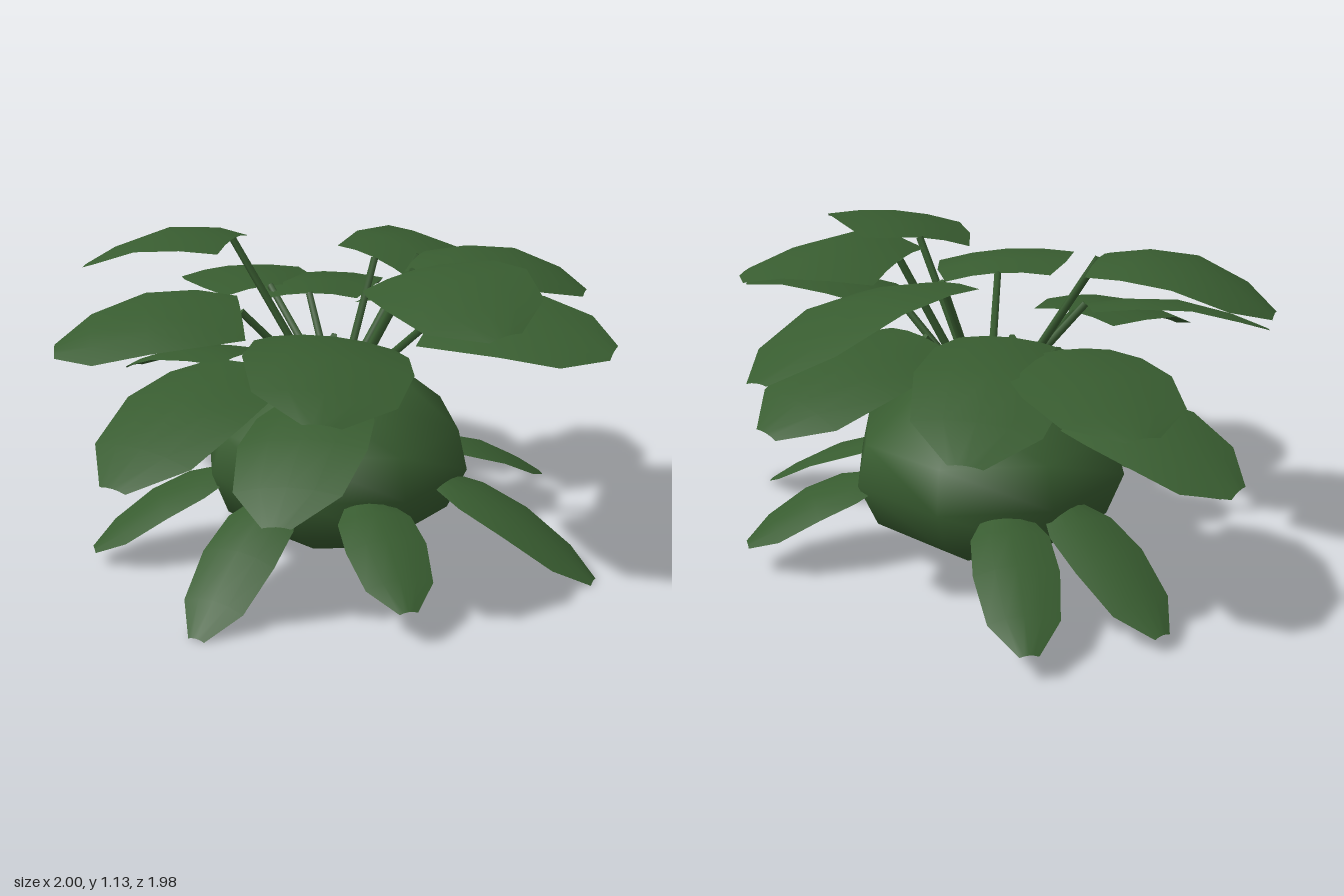
import * as THREE from 'three';

const green = new THREE.MeshStandardMaterial({ color: 0x385c30, side: THREE.DoubleSide, roughness: 1 });

// Outline of a leaf: distance along it and half width, from blunt base to tip
const rows = [[0, 0.74], [0.22, 0.93], [0.5, 1], [0.8, 0.82], [1, 0.22]];
const columns = [-1, -0.5, 0, 0.5, 1];

// Thin arched blade from base to tip, its edges drooping slightly; roll lifts one edge
function leafBlade(base, tip, width, arch, roll = 0, baseWidth = 1) {
  const along = tip.clone().sub(base);
  const side = new THREE.Vector3(along.z, 0, -along.x).normalize();
  side.y = roll;
  const points = [], index = [];
  rows.forEach(([t, w], i) => {
    const half = w * width / 2 * (i === 0 ? baseWidth : 1);
    columns.forEach((u) => {
      const p = base.clone().addScaledVector(along, t).addScaledVector(side, u * half);
      p.y += arch * Math.sin(Math.PI * t) - 0.03 * u * u * w;
      points.push(p);
    });
  });
  const n = columns.length;
  for (let i = 0; i < rows.length - 1; i++) {
    for (let j = 0; j < n - 1; j++) {
      const a = i * n + j, b = a + 1, c = a + n, d = c + 1;
      index.push(a, b, c, b, d, c);
    }
  }
  const geometry = new THREE.BufferGeometry().setFromPoints(points);
  geometry.setIndex(index);
  geometry.computeVertexNormals();
  return geometry;
}

// Slim straight stalk between two points
function stalk(from, to) {
  const dir = to.clone().sub(from);
  const mesh = new THREE.Mesh(new THREE.CylinderGeometry(0.014, 0.016, dir.length(), 5), green);
  mesh.position.copy(from).add(to).multiplyScalar(0.5);
  mesh.quaternion.setFromUnitVectors(new THREE.Vector3(0, 1, 0), dir.normalize());
  return mesh;
}

// Upper leaves: base, tip, width, arch, roll
const upperLeaves = [
  [[-0.41, 1.12, -0.10], [-1.00, 0.99, -0.10], 0.44, 0.075, 0],
  [[-0.18, 0.88, -0.30], [-0.27, 0.72, -0.98], 0.49, 0.08, -0.05],
  [[0.08, 1.04, -0.28], [0.42, 0.87, -0.94], 0.51, 0.09, 0.2],
  [[0.12, 0.86, -0.34], [0.41, 0.70, -0.92], 0.46, 0.06, -0.08],
  [[0.26, 1.08, -0.21], [0.86, 0.99, -0.20], 0.57, 0.07, -0.05],
  [[0.30, 1.09, 0.06], [0.69, 1.02, 0.51], 0.52, 0.07, 0.15],
  [[0.09, 0.91, 0.31], [0.21, 0.81, 0.86], 0.54, 0.07, -0.1],
  [[-0.21, 0.79, 0.31], [-0.42, 0.58, 0.98], 0.48, 0.07, 0],
  [[-0.32, 0.90, 0.08], [-0.92, 0.79, 0.36], 0.42, 0.06, -0.25],
  [[-0.36, 0.88, -0.37], [-0.75, 0.81, -0.82], 0.50, 0.045, 0],
  [[0.36, 0.90, -0.04], [0.99, 0.86, 0.06], 0.49, 0.06, 0.18],
  [[-0.42, 0.64, -0.22], [-0.97, 0.49, -0.40], 0.42, 0.06, 0.12],
  [[0.02, 0.64, 0.18], [0.03, 0.41, 0.76], 0.45, 0.07, 0.08],
];

// Lower leaves: tips, starting at the front and going round
const lowerTips = [
  [-0.22, 0.02, 0.85], [0.45, 0.14, 0.70], [0.98, 0.02, 0.09], [0.69, 0.12, -0.62],
  [-0.46, 0.11, -0.95], [-0.80, 0.07, -0.64], [-0.78, 0.07, 0.43],
];

export function createModel() {
  const model = new THREE.Group();

  // Rounded bulb with a flattened top and bottom, leaning slightly
  const profile = [[0, 0.03], [0.25, 0.04], [0.44, 0.17], [0.505, 0.33], [0.465, 0.48], [0.29, 0.615], [0.14, 0.65], [0, 0.655]];
  const bulb = new THREE.Mesh(new THREE.LatheGeometry(profile.map(([r, y]) => new THREE.Vector2(r, y)), 8), green);
  bulb.name = 'bulb';
  bulb.position.set(-0.03, 0, -0.09);
  bulb.rotation.z = -0.03;
  model.add(bulb);

  // Leaves on stalks fanning out of the top
  upperLeaves.forEach(([b, t, width, arch, roll]) => {
    const base = new THREE.Vector3(...b), tip = new THREE.Vector3(...t);
    const leaf = new THREE.Group();
    leaf.name = 'upperLeaf';
    const blade = new THREE.Mesh(leafBlade(base, tip, width, arch, roll), green);
    blade.name = 'blade';
    const root = new THREE.Vector3(-0.02, 0.6, -0.1).lerp(new THREE.Vector3(b[0], 0.6, b[2]), 0.2);
    const stem = stalk(root, base);
    stem.name = 'stem';
    leaf.add(blade, stem);
    model.add(leaf);
  });

  // Small leaves spreading from the side of the bulb to the ground
  lowerTips.forEach((t) => {
    const tip = new THREE.Vector3(...t);
    const base = new THREE.Vector3(-0.02, 0, -0.08);
    const outward = tip.clone().sub(base).setY(0).normalize();
    base.addScaledVector(outward, 0.42).setY(0.325);
    const leaf = new THREE.Mesh(leafBlade(base, tip, 0.28, 0.045, 0, 0.7), green);
    leaf.name = 'lowerLeaf';
    model.add(leaf);
  });

  return model;
}
